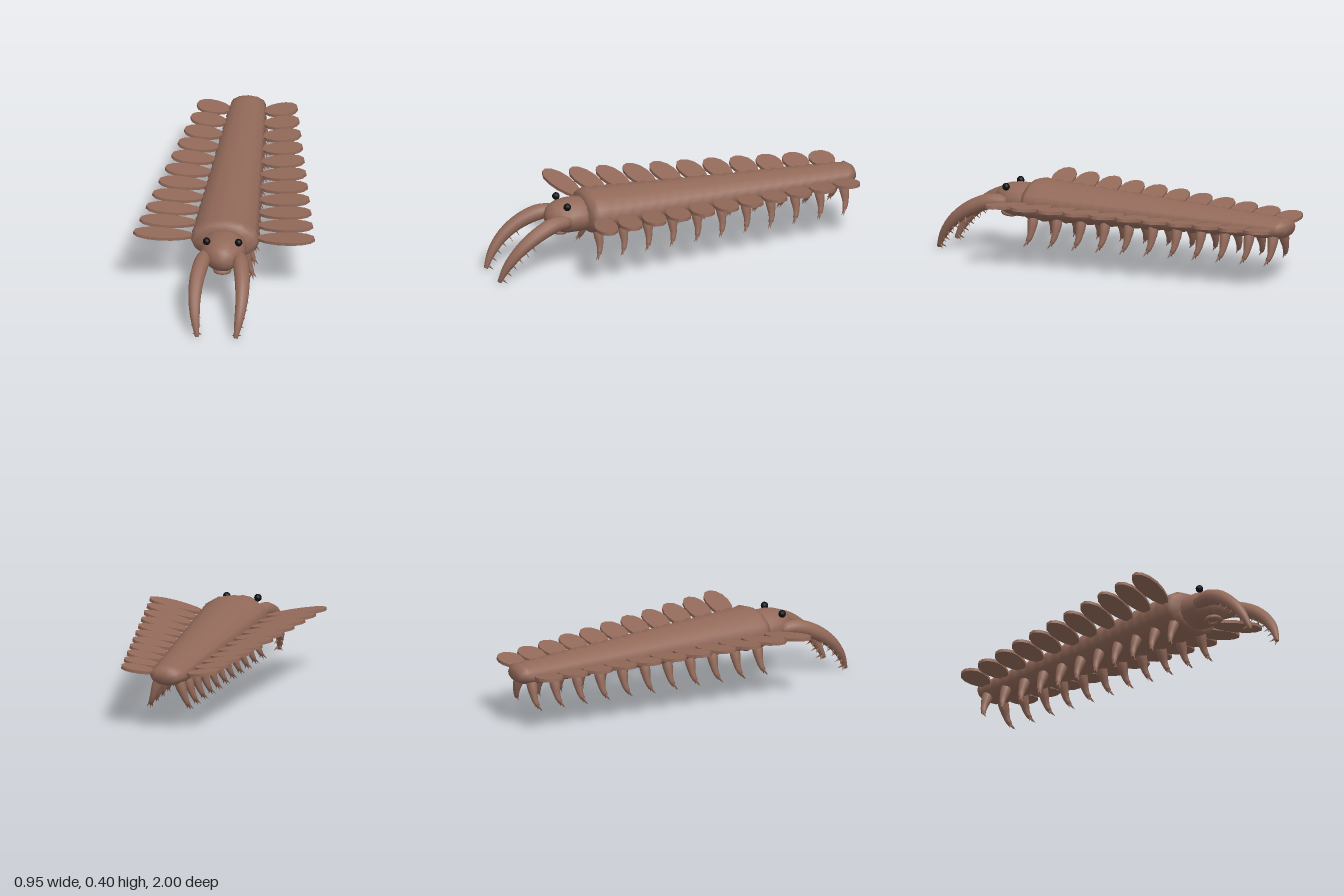
import * as THREE from 'three';

const V = (x, y, z) => new THREE.Vector3(x, y, z);
const lerp = THREE.MathUtils.lerp;

const skin = new THREE.MeshStandardMaterial({ color: 0x936a5a });
skin.name = 'brown skin';
const black = new THREE.MeshStandardMaterial({ color: 0x0c0c0c });
black.name = 'black eye';

// Closed skin over rings of points, with a centre vertex at each end.
function loft(rings) {
  const n = rings[0].length, pos = [], idx = [];
  rings.forEach(r => r.forEach(p => pos.push(p.x, p.y, p.z)));
  for (let i = 0; i < rings.length - 1; i++) {
    for (let j = 0; j < n; j++) {
      const a = i * n + j, b = i * n + (j + 1) % n;
      idx.push(a, b, a + n, b, b + n, a + n);
    }
  }
  [0, rings.length - 1].forEach(k => {
    const c = pos.length / 3, base = k * n, mid = V(0, 0, 0);
    rings[k].forEach(p => mid.addScaledVector(p, 1 / n));
    pos.push(mid.x, mid.y, mid.z);
    for (let j = 0; j < n; j++) {
      const a = base + j, b = base + (j + 1) % n;
      if (k === 0) idx.push(c, b, a); else idx.push(c, a, b);
    }
  });
  const g = new THREE.BufferGeometry();
  g.setAttribute('position', new THREE.Float32BufferAttribute(pos, 3));
  g.setIndex(idx);
  g.computeVertexNormals();
  return g;
}

// Elliptical ring across the z axis.
function ring(z, y, rx, ry, n) {
  return Array.from({ length: n }, (_, j) => {
    const a = Math.PI / 2 + j / n * Math.PI * 2;
    return V(Math.cos(a) * rx, y + Math.sin(a) * ry, z);
  });
}

// Tube along a curve with a radius that varies along it.
function taperTube(curve, radii, steps, n) {
  const f = curve.computeFrenetFrames(steps), rings = [];
  for (let i = 0; i <= steps; i++) {
    const c = curve.getPointAt(i / steps);
    const k = i / steps * (radii.length - 1), m = Math.min(Math.floor(k), radii.length - 2);
    const r = lerp(radii[m], radii[m + 1], k - m);
    rings.push(Array.from({ length: n }, (_, j) => {
      const a = j / n * Math.PI * 2;
      return c.clone().addScaledVector(f.normals[i], Math.cos(a) * r)
        .addScaledVector(f.binormals[i], Math.sin(a) * r);
    }));
  }
  return loft(rings);
}

function add(parent, name, geo, mat = skin) {
  const m = new THREE.Mesh(geo, mat);
  m.name = name;
  parent.add(m);
  return m;
}

// Pointed cone from one point to another.
function spike(parent, name, from, to, r) {
  const d = to.clone().sub(from);
  const m = add(parent, name, new THREE.ConeGeometry(r, d.length(), 6));
  m.position.copy(from).addScaledVector(d, 0.5);
  m.quaternion.setFromUnitVectors(V(0, 1, 0), d.normalize());
}

export function createModel() {
  const root = new THREE.Group();
  root.name = 'seaCreature';

  // Trunk: overlapping rings that grow from tail to neck
  const N = 22, rings = [ring(-1, 0.305, 0.06, 0.035, 12), ring(-0.97, 0.305, 0.092, 0.053, 12)];
  for (let i = 0; i < N; i++) {
    const t = i / (N - 1), z = lerp(-0.95, 0.41, t);
    const rx = lerp(0.097, 0.176, t), ry = lerp(0.055, 0.106, t);
    rings.push(ring(z, 0.3, rx - 0.005, ry - 0.004, 12));
    rings.push(ring(z + 0.045, 0.3, rx + 0.006, ry + 0.005, 12));
  }
  rings.push(ring(0.485, 0.298, 0.165, 0.1, 12), ring(0.5, 0.295, 0.1, 0.08, 12));
  add(root, 'trunk', loft(rings));

  // Head: short barrel with a rounded snout
  add(root, 'head', loft([
    [0.46, 0.105, 0.083], [0.52, 0.116, 0.088], [0.58, 0.117, 0.088], [0.62, 0.104, 0.083],
    [0.655, 0.082, 0.071], [0.68, 0.058, 0.053], [0.697, 0.025, 0.025],
  ].map(([z, rx, ry]) => ring(z, 0.29, rx, ry, 16))));

  // Mouth ring under the head
  const mouth = add(root, 'mouth', new THREE.TorusGeometry(0.036, 0.012, 8, 16));
  mouth.rotation.x = Math.PI / 2 - 0.1;
  mouth.position.set(0, 0.211, 0.625);

  // Egg-shaped flap outline, wider towards the outer end
  const flapGeo = new THREE.CylinderGeometry(1, 1, 1, 14);
  flapGeo.rotateY(Math.PI / 14);
  const fp = flapGeo.attributes.position;
  for (let i = 0; i < fp.count; i++) fp.setZ(i, fp.getZ(i) * (1 + 0.15 * fp.getX(i)));

  for (const s of [1, -1]) {
    const side = s > 0 ? 'left' : 'right';

    // Eye
    const eye = add(root, side + 'Eye', new THREE.SphereGeometry(0.02, 10, 8), black);
    eye.position.set(s * 0.083, 0.367, 0.607);

    // Grasping arm, curving forward and down
    const arm = new THREE.Group();
    arm.name = side + 'GraspingArm';
    root.add(arm);
    const path = new THREE.CatmullRomCurve3([
      V(s * 0.085, 0.285, 0.6), V(s * 0.1, 0.287, 0.68), V(s * 0.118, 0.245, 0.79),
      V(s * 0.122, 0.17, 0.89), V(s * 0.112, 0.085, 0.955), V(s * 0.1, 0.012, 0.988),
    ]);
    add(arm, 'armTube', taperTube(path, [0.034, 0.042, 0.039, 0.033, 0.025, 0.011], 18, 12));

    // Paired spines along the inner curve of the arm
    for (let i = 0; i < 6; i++) {
      const u = lerp(0.48, 0.96, i / 5), p = path.getPointAt(u), t = path.getTangentAt(u);
      const under = V(0, -t.z, t.y).normalize();
      const len = lerp(0.068, 0.045, i / 5);
      for (const k of [1, -1]) {
        const dir = under.clone().multiplyScalar(0.75).add(V(k * 0.6, -0.3, 0)).normalize();
        const tip = p.clone().addScaledVector(dir, len);
        tip.y = Math.max(tip.y, 0.002);
        spike(arm, 'armSpine', p, tip, 0.009);
      }
    }

    for (let i = 0; i < 11; i++) {
      const t = i / 10;

      // Swimming flap, swept forward most at the front
      const a = V(s * lerp(0.165, 0.085, t), lerp(0.308, 0.304, t), lerp(0.445, -0.905, t));
      const b = V(s * lerp(0.472, 0.262, t), lerp(0.352, 0.328, t), lerp(0.52, -0.9, t));
      const d = b.clone().sub(a);
      const flap = add(root, side + 'Flap', flapGeo);
      flap.position.copy(a).addScaledVector(d, 0.5);
      flap.rotation.order = 'YZX';
      flap.rotation.set(0, Math.atan2(-d.z, d.x), Math.asin(d.y / d.length()));
      flap.scale.set(d.length() / 2, 0.016, lerp(0.06, 0.066, t));

      // Stubby walking leg with claws
      const leg = new THREE.Group();
      leg.name = side + 'Leg';
      leg.position.set(s * lerp(0.09, 0.05, t), lerp(0.24, 0.28, t), lerp(0.443, -0.93, t));
      root.add(leg);
      const shin = new THREE.CatmullRomCurve3([
        V(0, 0, 0), V(s * 0.02, -0.055, -0.002), V(s * 0.038, -0.105, 0), V(s * 0.05, -0.135, 0.01),
      ]);
      add(leg, 'legTube', taperTube(shin, [0.029, 0.027, 0.018, 0.012], 8, 10));
      const foot = V(s * 0.047, -0.125, 0.006);
      [[0.03, -0.035, 0.018], [0.012, -0.042, 0.024], [-0.006, -0.035, 0.012]].forEach(c =>
        spike(leg, 'claw', foot, foot.clone().add(V(s * c[0], c[1], c[2])), 0.009));
    }
  }
  return root;
}
